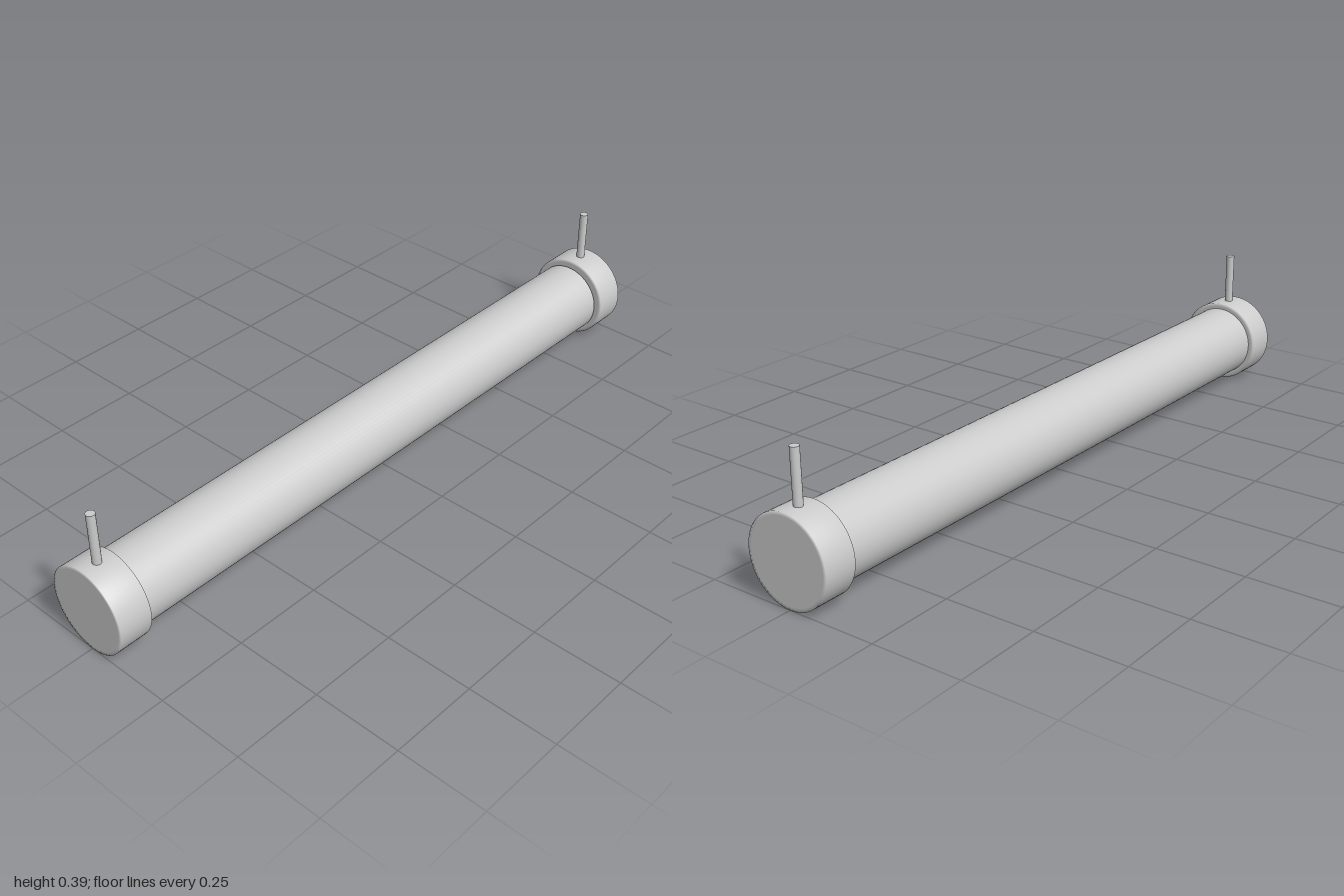
import * as THREE from 'three';

const AXIS_Y = 0.123; // height of the tube's axis

export function createModel() {
  const group = new THREE.Group();
  const material = new THREE.MeshStandardMaterial({ color: 0xcccccc });

  const add = (name, geometry, y, z, parent = group) => {
    const mesh = new THREE.Mesh(geometry, material);
    mesh.name = name;
    mesh.position.set(0, y, z);
    parent.add(mesh);
    return mesh;
  };

  // Long horizontal tube: touches the front cap, leaves a slim gap at the back
  const front = 0.91, back = -0.897;
  const tube = new THREE.CylinderGeometry(0.104, 0.104, front - back, 64).rotateX(Math.PI / 2);
  add('tube', tube, AXIS_Y, (front + back) / 2);

  // End cap: solid disc with sharp outline and softly shaded rim
  const half = 0.0465;
  const profile = [[0, -half], [0.112, -half], [0.122, -half], [0.122, half], [0.112, half], [0, half]]
    .map(([r, h]) => new THREE.Vector2(r, h));
  const cap = new THREE.LatheGeometry(profile, 64).rotateX(Math.PI / 2);

  // Thin hanging pin standing on each cap
  const pinBottom = 0.2, pinTop = 0.39;
  const pin = new THREE.CylinderGeometry(0.012, 0.012, pinTop - pinBottom, 32);

  for (const [side, s] of [['front', 1], ['back', -1]]) {
    const end = new THREE.Group();
    end.name = side + 'End';
    end.position.z = s * (1 - half);
    group.add(end);
    add(side + 'Cap', cap, AXIS_Y, 0, end);
    add(side + 'Pin', pin, (pinBottom + pinTop) / 2, 0, end);
  }
  return group;
}
